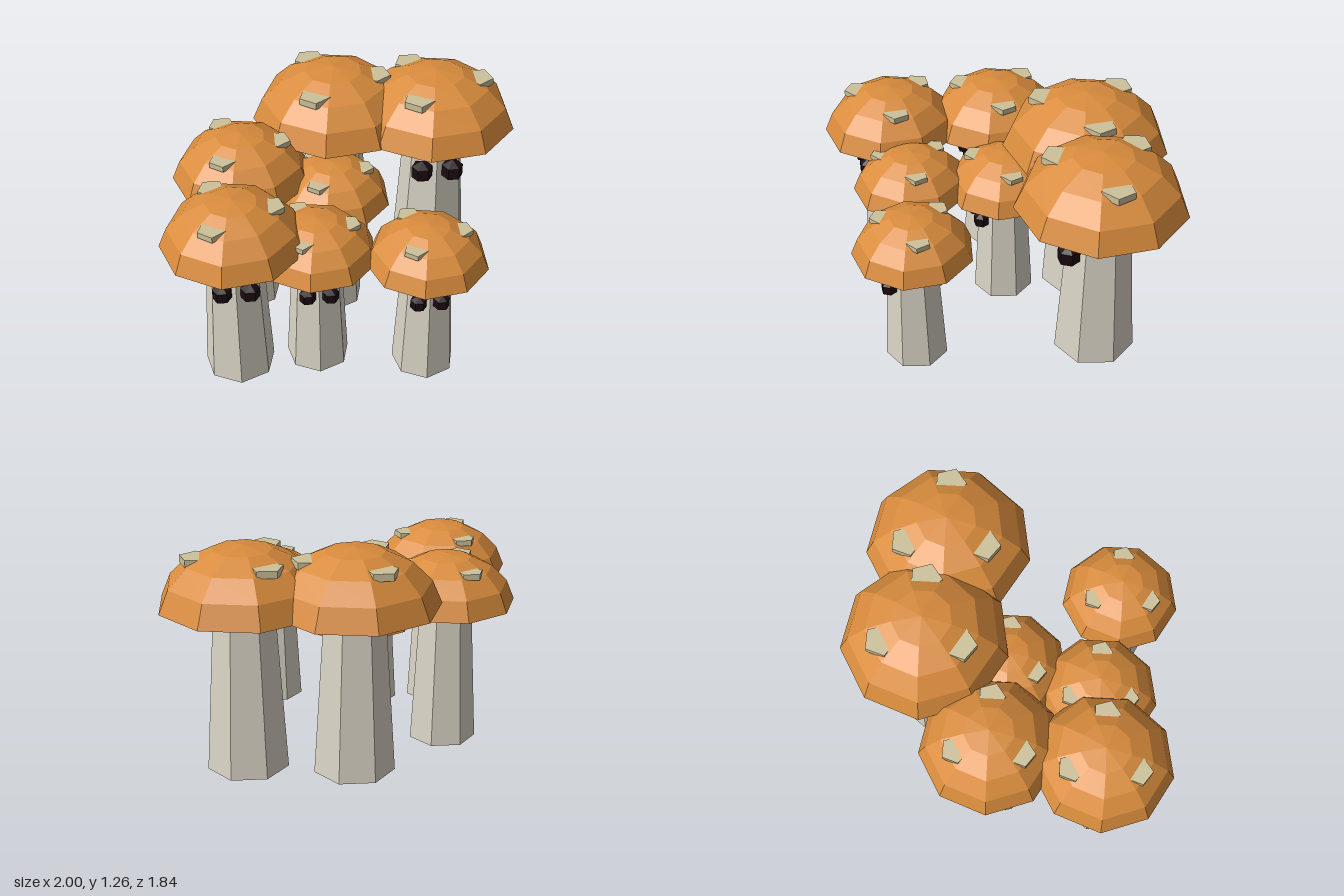
import * as THREE from 'three';

const flat = (name, color) => {
  const m = new THREE.MeshStandardMaterial({ color, flatShading: true });
  m.name = name;
  return m;
};

export function createModel() {
  const capMat = flat('cap orange', 0xd98c3d);
  capMat.side = THREE.DoubleSide; // caps are open shells
  const stemMat = flat('stem cream', 0xdbd5c7);
  const spotMat = flat('spot beige', 0xcdc29b);
  const eyeMat = flat('eye black', 0x1b0a10);

  const add = (parent, name, geo, mat, x, y, z) => {
    const mesh = new THREE.Mesh(geo, mat);
    mesh.name = name;
    mesh.position.set(x, y, z);
    parent.add(mesh);
    return mesh;
  };

  // Three sizes: cap radius, rim height, cap height, stem radii, eye radius, height and half spacing
  const sizes = {
    large: { r: 0.463, rim: 0.945, capH: 0.32, top: 0.163, bottom: 0.226, eyeR: 0.07, eyeY: 0.71, eyeX: 0.088 },
    medium: { r: 0.386, rim: 0.82, capH: 0.275, top: 0.145, bottom: 0.192, eyeR: 0.058, eyeY: 0.615, eyeX: 0.073 },
    small: { r: 0.328, rim: 0.69, capH: 0.235, top: 0.132, bottom: 0.172, eyeR: 0.05, eyeY: 0.52, eyeX: 0.061 },
  };
  const sweep = Math.PI * 0.45; // how far the dome curves down

  function mushroom(size, x, z) {
    const s = sizes[size];
    const g = new THREE.Group();
    g.name = size + 'Mushroom';
    g.position.set(x, 0, z);

    // Tapered seven-sided stem, ending just inside the cap
    const h = s.rim + 0.03;
    add(g, 'stem', new THREE.CylinderGeometry(s.top, s.bottom, h, 7), stemMat, 0, h / 2, 0.008);

    // Nine-sided dome, its rim set to y = 0
    const dome = new THREE.SphereGeometry(1, 9, 4, 0, Math.PI * 2, 0, sweep);
    dome.translate(0, -Math.cos(sweep), 0);
    const wide = s.r / Math.sin(sweep);
    dome.scale(wide, s.capH / (1 - Math.cos(sweep)), wide);
    add(g, 'cap', dome, capMat, 0, s.rim, 0);

    // Three level pentagonal spots half sunk into the cap
    for (let i = 0; i < 3; i++) {
      const a = (i * Math.PI * 2) / 3;
      add(g, 'spot', new THREE.CylinderGeometry(s.r * 0.195, s.r * 0.195, s.r * 0.085, 5), spotMat,
        Math.cos(a) * s.r * 0.52, s.rim + s.capH * 0.755, Math.sin(a) * s.r * 0.52);
    }

    // Pair of faceted eyes on the front of the stem
    for (const side of [-1, 1]) {
      add(g, side > 0 ? 'leftEye' : 'rightEye', new THREE.SphereGeometry(s.eyeR, 6, 3), eyeMat,
        side * s.eyeX, s.eyeY, s.bottom * 0.87);
    }
    return g;
  }

  const model = new THREE.Group();
  model.name = 'mushroomCluster';
  const layout = [
    ['large', -0.01, -0.472], ['large', 0.565, -0.383],
    ['medium', -0.614, 0.518], ['medium', -0.552, -0.09],
    ['small', 0.395, 0.592], ['small', -0.18, 0.488], ['small', -0.056, -0.018],
  ];
  for (const [size, x, z] of layout) model.add(mushroom(size, x, z));
  return model;
}
